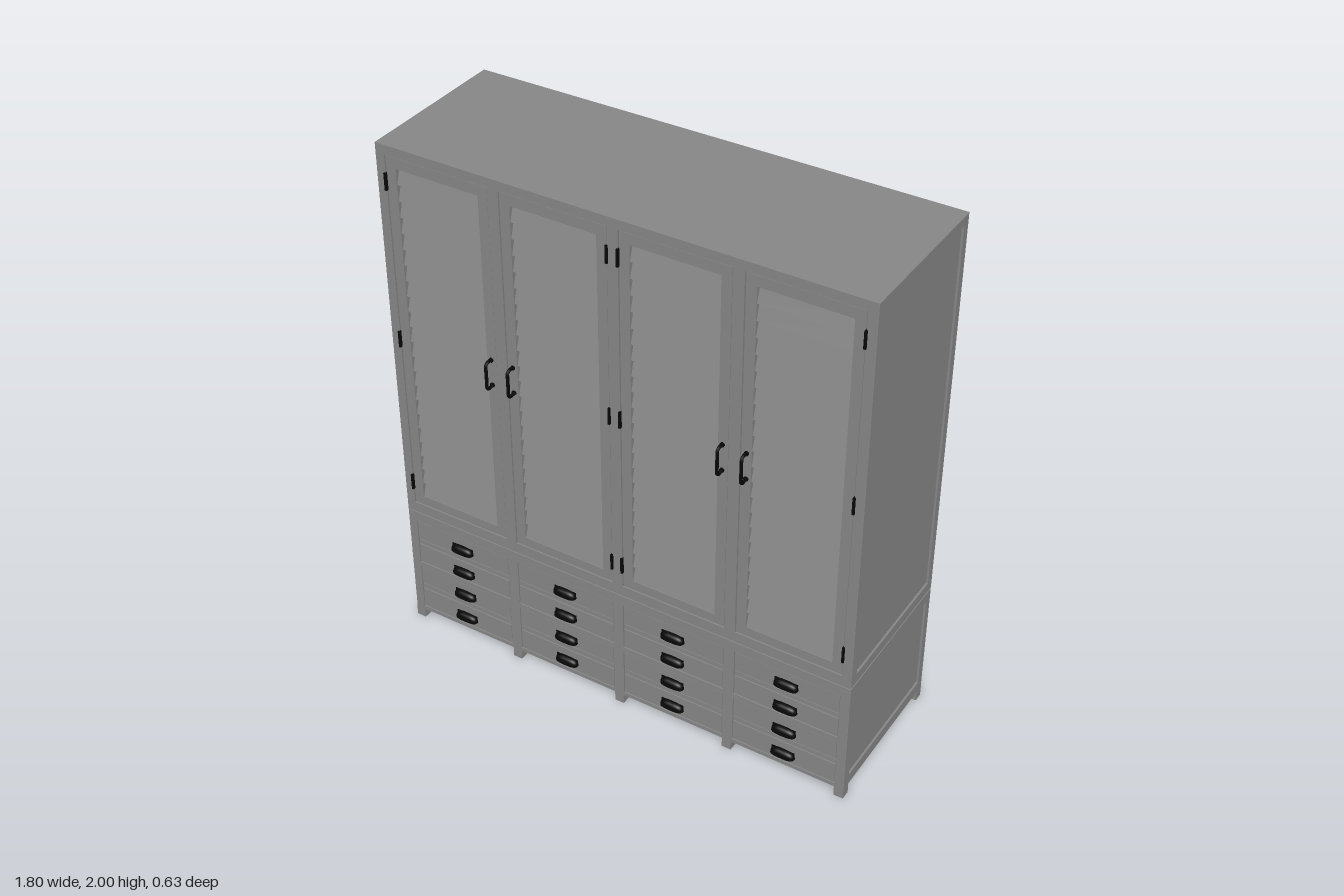
import * as THREE from 'three';

const grey = new THREE.MeshStandardMaterial({ color: 0x868686 });
const black = new THREE.MeshStandardMaterial({ color: 0x080808, side: THREE.DoubleSide });

const FRONT = 0.28, BACK = -0.317, CORE = 0.235;
const COLUMNS = [-0.664, -0.221, 0.221, 0.664]; // centres of the four bays
const BAY = 0.402;                              // bay width
const SPLIT = 0.506;                            // joint between base and upper cabinet

export function createModel() {
  const model = new THREE.Group();

  function add(name, geometry, material = grey, parent = model) {
    const mesh = new THREE.Mesh(geometry, material);
    mesh.name = name;
    parent.add(mesh);
    return mesh;
  }

  // Box given by its limits
  function box(name, x0, x1, y0, y1, z0, z1, material, parent) {
    const mesh = add(name, new THREE.BoxGeometry(x1 - x0, y1 - y0, z1 - z0), material, parent);
    mesh.position.set((x0 + x1) / 2, (y0 + y1) / 2, (z0 + z1) / 2);
    return mesh;
  }

  // Flat board from z = 0 to depth with rectangular openings [x0, x1, y0, y1] and an optional chamfer
  function frame(outer, holes, depth, chamfer = 0) {
    const trace = (path, [x0, x1, y0, y1]) => {
      path.moveTo(x0, y0);
      path.lineTo(x1, y0);
      path.lineTo(x1, y1);
      path.lineTo(x0, y1);
      path.closePath();
      return path;
    };
    const shape = trace(new THREE.Shape(), outer);
    shape.holes = holes.map(h => trace(new THREE.Path(), h));
    return new THREE.ExtrudeGeometry(shape, {
      depth: depth - 2 * chamfer,
      bevelEnabled: chamfer > 0,
      bevelSize: chamfer,
      bevelOffset: -chamfer,
      bevelThickness: chamfer,
      bevelSegments: 1,
    }).translate(0, 0, chamfer);
  }

  const bays = (y0, y1) => COLUMNS.map(x => [x - BAY / 2, x + BAY / 2, y0, y1]);

  // Carcass: base and upper cabinet, each with a front frame and panelled sides
  const sections = [
    { name: 'base', y0: 0.04, y1: SPLIT - 0.002, side: [0.085, 0.463], holes: [...bays(0.055, 0.25), ...bays(0.27, 0.463)] },
    { name: 'upper', y0: SPLIT + 0.002, y1: 2, side: [0.55, 1.965], holes: bays(0.55, 1.965) },
  ];
  for (const s of sections) {
    box(s.name + 'Carcass', -0.893, 0.893, s.y0, s.y1, BACK, CORE);
    add(s.name + 'FrontFrame', frame([-0.894, 0.894, s.y0, s.y1], s.holes, FRONT - CORE)).position.z = CORE;
    for (const side of [-1, 1]) {
      // After the turn the board's x runs along z
      const z = [BACK, FRONT], hole = [-0.285, 0.243];
      const geometry = frame([...z, s.y0, s.y1], [[...hole, ...s.side]], 0.012, 0.0015);
      geometry.rotateY(-Math.PI / 2); // x -> z, board thickness -> -x
      add(s.name + 'SideFrame', geometry).position.x = side > 0 ? 0.9 : -0.888;
    }
  }
  box('jointFiller', -0.885, 0.885, SPLIT - 0.01, SPLIT + 0.01, BACK + 0.008, FRONT - 0.008);

  // Feet
  for (const x of [-0.882, -0.4415, 0, 0.4415, 0.882])
    for (const z of [FRONT - 0.018, BACK + 0.018])
      box('foot', x - 0.018, x + 0.018, 0, 0.042, z - 0.018, z + 0.018);

  // Bow handle for the doors
  const bow = new THREE.CatmullRomCurve3([
    [-0.05, 0], [-0.053, 0.022], [-0.043, 0.033], [0, 0.033], [0.043, 0.033], [0.053, 0.022], [0.05, 0],
  ].map(([y, z]) => new THREE.Vector3(0, y, z)), false, 'catmullrom', 0.3);
  const bowGeometry = new THREE.TubeGeometry(bow, 32, 0.006, 8);

  // Louvred doors, hinged at the outside and at the middle
  const SLATS = 22, OPEN0 = 0.59, OPEN1 = 1.922, TILT = 0.3;
  const pitch = (OPEN1 - OPEN0) / SLATS;
  COLUMNS.forEach((x, i) => {
    const door = new THREE.Group();
    door.name = 'door';
    door.position.x = x;
    model.add(door);
    const half = BAY / 2 - 0.003, open = 0.161;
    add('doorFrame', frame([-half, half, 0.553, 1.962], [[-open, open, OPEN0, OPEN1]], 0.042), grey, door)
      .position.z = CORE;

    for (let k = 0; k < SLATS; k++) {
      const slat = add('slat', new THREE.BoxGeometry(open * 2, pitch / Math.cos(TILT), 0.007), grey, door);
      slat.position.set(0, OPEN0 + (k + 0.5) * pitch, 0.262);
      slat.rotation.x = -TILT;
    }

    const hinge = i % 2 === 0 ? -1 : 1;
    for (const y of [0.645, 1.257, 1.867]) {
      const hx = hinge * BAY / 2;
      box('hinge', hx - 0.004, hx + 0.004, y - 0.032, y + 0.032, 0.27, 0.287, black, door);
    }
    const handle = add('doorHandle', bowGeometry, black, door);
    handle.position.set(-hinge * 0.178, 1.255, 0.277);
    for (const y of [-0.05, 0.05]) {
      const rose = add('handleMount', new THREE.CylinderGeometry(0.0085, 0.0085, 0.006, 12), black, door);
      rose.rotation.x = Math.PI / 2;
      rose.position.set(-hinge * 0.178, 1.255 + y, 0.279);
    }
  });

  // Cup pull: a quarter dome squared off towards a box
  const cup = new THREE.SphereGeometry(1, 20, 8, 0, Math.PI, 0, Math.PI / 2);
  const p = cup.attributes.position;
  const square = v => Math.sign(v) * Math.pow(Math.abs(v), 0.65);
  for (let i = 0; i < p.count; i++)
    p.setXYZ(i, square(p.getX(i)) * 0.046, square(p.getY(i)) * 0.028, square(p.getZ(i)) * 0.022);
  cup.computeVertexNormals();

  // Drawers: two per opening with a thin rail between them
  const drawers = [[0.058, 0.142, 0.084], [0.168, 0.247, 0.19], [0.273, 0.354, 0.297], [0.38, 0.46, 0.403]];
  for (const x of COLUMNS) {
    const half = BAY / 2 - 0.003;
    for (const [y0, y1, pullY] of drawers) {
      box('drawerFront', x - half, x + half, y0, y1, CORE - 0.01, 0.278);
      add('cupPull', cup, black).position.set(x, pullY, 0.278);
      box('cupPullPlate', x - 0.044, x + 0.044, pullY, pullY + 0.026, 0.276, 0.281, black);
    }
    for (const y of [0.155, 0.367])
      box('drawerRail', x - half, x + half, y - 0.0095, y + 0.0095, CORE - 0.01, 0.277);
  }

  return model;
}
